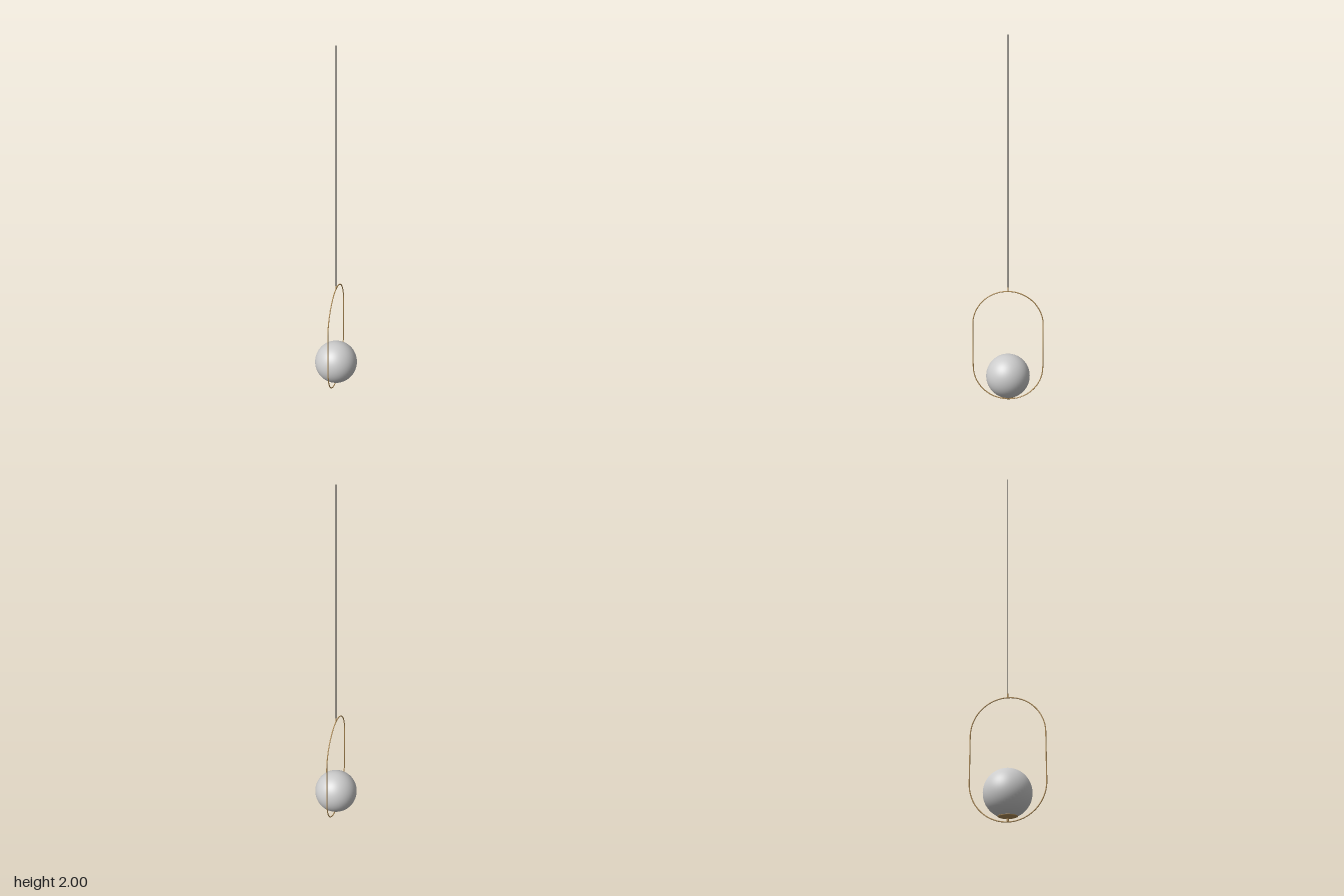
import * as THREE from 'three';

export function createModel() {
  const group = new THREE.Group();
  const brass = new THREE.MeshStandardMaterial({ color: 0xb08d57, side: THREE.DoubleSide });
  const black = new THREE.MeshStandardMaterial({ color: 0x222222 });
  const glass = new THREE.MeshStandardMaterial({ color: 0xcccccc });

  const add = (name, geometry, material, y = 0) => {
    const mesh = new THREE.Mesh(geometry, material);
    mesh.name = name;
    mesh.position.y = y;
    group.add(mesh);
    return mesh;
  };

  // Stadium-shaped wire frame standing in the YZ plane
  const wire = 0.003, R = 0.194, low = R + wire, high = 0.643 - R - wire;
  const path = new THREE.CurvePath();
  const pts = [];
  const arc = (cy, start) => {
    for (let i = 0; i <= 32; i++) {
      const a = start + (Math.PI * i) / 32;
      pts.push(new THREE.Vector3(0, cy + R * Math.sin(a), R * Math.cos(a)));
    }
  };
  arc(high, 0);
  arc(low, Math.PI);
  pts.push(pts[0].clone());
  for (let i = 0; i + 1 < pts.length; i++) path.add(new THREE.LineCurve3(pts[i], pts[i + 1]));
  add('frame', new THREE.TubeGeometry(path, 240, wire, 10, true), brass);

  // Globe shade
  const r = 0.122, cy = 0.144;
  add('globe', new THREE.SphereGeometry(r, 48, 32), glass, cy);

  // Shallow cup hugging the bottom of the globe, on a short stem
  const cup = [];
  const rim = 0.41;
  for (let i = 0; i <= 10; i++) {
    const a = (rim * i) / 10;
    cup.push(new THREE.Vector2((r + 0.003) * Math.sin(a), -(r + 0.003) * Math.cos(a)));
  }
  cup.push(new THREE.Vector2((r - 0.001) * Math.sin(rim), -(r - 0.001) * Math.cos(rim)));
  add('cup', new THREE.LatheGeometry(cup, 40), brass, cy);
  add('stem', new THREE.CylinderGeometry(0.006, 0.006, 0.018, 16), brass, 0.012);

  // Ferrule and hanging cord
  add('ferrule', new THREE.CylinderGeometry(0.003, 0.003, 0.022, 12), brass, 0.651);
  const bottom = 0.64;
  add('cord', new THREE.CylinderGeometry(0.0022, 0.0022, 2 - bottom, 12), black, (2 + bottom) / 2);

  return group;
}
